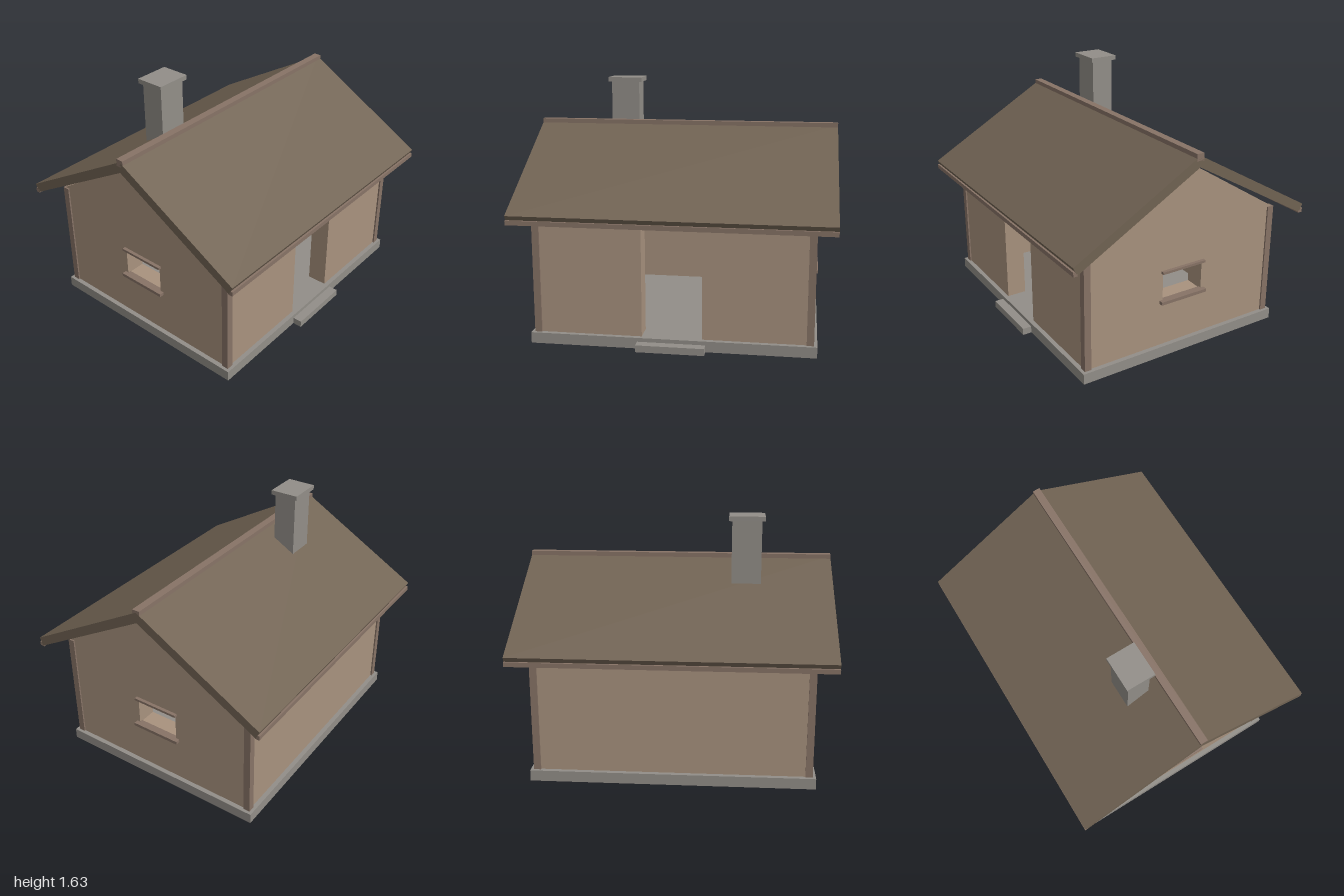
import * as THREE from 'three';

const mat = (color) => new THREE.MeshStandardMaterial({ color, flatShading: true });
const stone = mat(0x928e88);
const wall = mat(0xa8927e);
const trim = mat(0x877366);
const roofing = mat(0x716353);

export function createModel() {
  const house = new THREE.Group();
  house.name = 'cottage';

  const add = (name, geometry, material) => {
    const mesh = new THREE.Mesh(geometry, material);
    mesh.name = name;
    house.add(mesh);
    return mesh;
  };

  // Box given by its [min, max] extent on each axis
  const box = (name, material, [x0, x1], [y0, y1], [z0, z1]) =>
    add(name, new THREE.BoxGeometry(x1 - x0, y1 - y0, z1 - z0), material)
      .position.set((x0 + x1) / 2, (y0 + y1) / 2, (z0 + z1) / 2);

  // Extent mirrored to the negative side when s is -1
  const side = (s, a, b) => (s > 0 ? [a, b] : [-b, -a]);

  // Profile in the z-y plane, extruded along x around xMid
  const extrudeX = (name, material, shape, width, xMid) => {
    const g = new THREE.ExtrudeGeometry(shape, { depth: width, bevelEnabled: false });
    g.translate(0, 0, -width / 2).rotateY(-Math.PI / 2).translate(xMid, 0, 0);
    return add(name, g, material);
  };
  const polygon = (points) => new THREE.Shape(points.map(([u, v]) => new THREE.Vector2(u, v)));

  const floorY = 0.07, eaveY = 0.825;
  const wallX = 0.87, wallZ = 0.7, thick = 0.13;
  const innerX = wallX - thick, innerZ = wallZ - thick;

  // Base slab and doorstep
  box('foundation', stone, [-0.9, 0.9], [0, floorY], [-0.73, 0.73]);
  box('doorstep', stone, [-0.215, 0.215], [0, 0.045], [0.73, 0.79]);

  // Long walls: solid at the back, split by the doorway at the front
  box('backWall', wall, [-innerX, innerX], [floorY, eaveY], [-wallZ, -innerZ]);
  for (const s of [-1, 1]) {
    box('frontWall', wall, side(s, 0.19, innerX), [floorY, eaveY], [innerZ, wallZ]);
  }
  box('doorLintel', trim, [-0.19, 0.19], [0.76, eaveY], [innerZ, wallZ]);

  for (const s of [-1, 1]) {
    // Gable wall with a window opening
    const gable = polygon([
      [-wallZ, floorY], [wallZ, floorY], [wallZ, eaveY], [0, 1.265], [-wallZ, eaveY],
    ]);
    gable.holes.push(polygon([[-0.147, 0.38], [-0.147, 0.575], [0.147, 0.575], [0.147, 0.38]]));
    extrudeX('gableWall', wall, gable, thick, s * (wallX - thick / 2));

    // Window trim
    box('windowSill', trim, side(s, 0.85, 0.9), [0.365, 0.386], [-0.17, 0.17]);
    box('windowLintel', trim, side(s, 0.85, 0.892), [0.57, 0.586], [-0.16, 0.16]);

    // Corner posts
    for (const t of [-1, 1]) {
      box('cornerPost', trim, side(s, 0.835, 0.88), [floorY, eaveY], side(t, 0.665, 0.71));
    }

    // Roof slope and the board under its eave
    const slope = [[0, 1.267], [s * 0.82, 0.8], [s * 0.845, 0.853], [0, 1.338]];
    extrudeX('roofSlope', roofing, polygon(slope), 2, 0);
    box('eaveBoard', trim, [-1, 1], [0.796, 0.825], side(s, 0.815, 0.845));
  }
  box('ridgeCap', trim, [-1, 1], [1.305, 1.352], [-0.025, 0.025]);

  // Chimney
  box('chimneyShaft', stone, [-0.54, -0.35], [1.15, 1.6], [-0.247, -0.097]);
  box('chimneyCap', stone, [-0.56, -0.33], [1.6, 1.63], [-0.267, -0.077]);

  return house;
}
